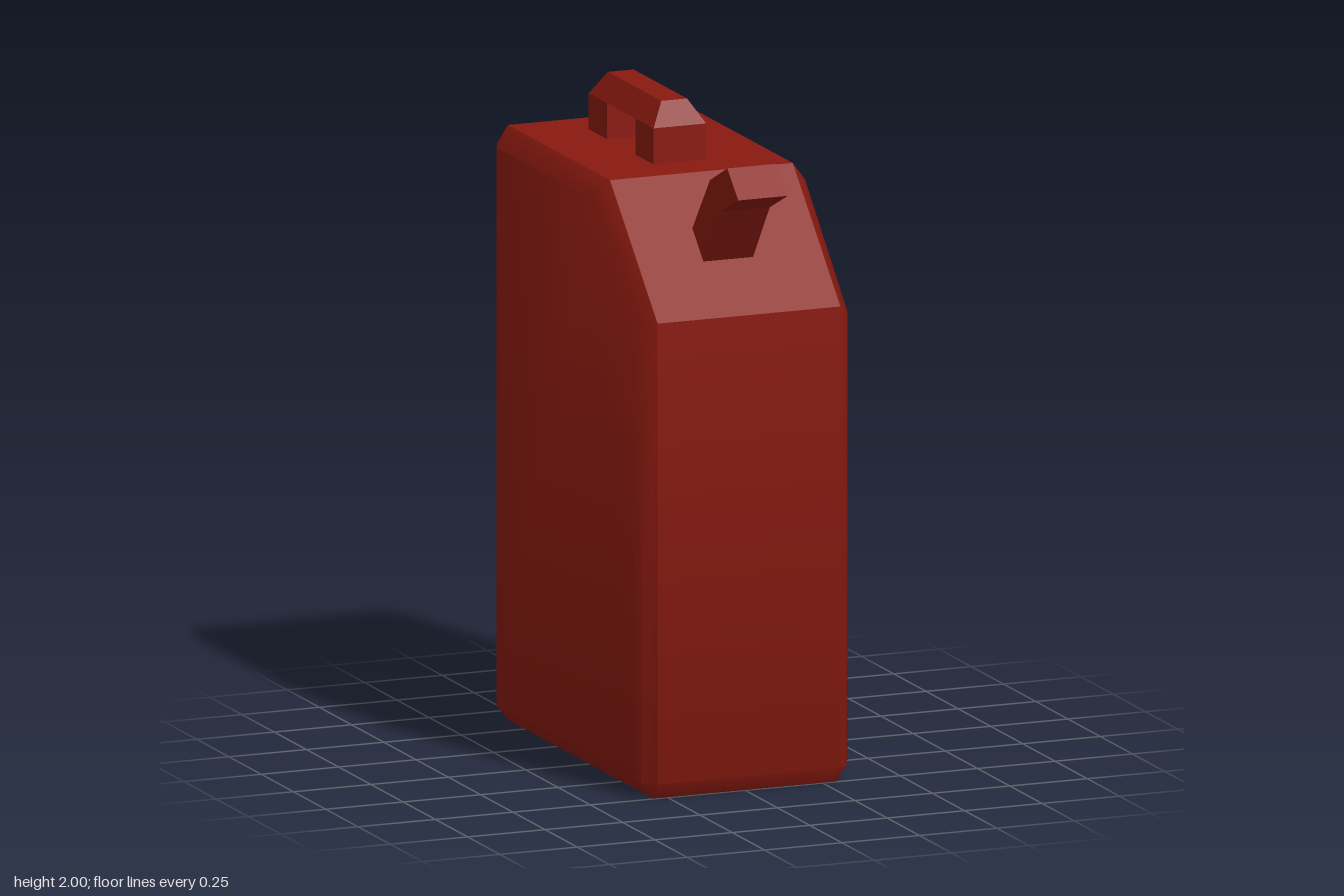
import * as THREE from 'three';
import { ConvexGeometry } from 'three/addons/geometries/ConvexGeometry.js';
import { toCreasedNormals } from 'three/addons/utils/BufferGeometryUtils.js';

const red = new THREE.MeshStandardMaterial({ color: 0x8a1a10 });

function addMesh(parent, name, geometry) {
  const mesh = new THREE.Mesh(geometry, red);
  mesh.name = name;
  parent.add(mesh);
  return mesh;
}

// Side outlines [z, y] of the can, each at a half width, from inner to outer
const bodySections = [
  { x: 0.295, outline: [[0.495, 0], [0.53, 0.05], [0.53, 1.46], [0.16, 1.82], [-0.63, 1.82], [-0.655, 1.77], [-0.655, 0.05], [-0.625, 0]] },
  { x: 0.33, outline: [[0.49, 0.045], [0.49, 1.405], [-0.63, 1.77], [-0.63, 0.045]] },
  { x: 0.345, outline: [[0.465, 0.06], [0.465, 1.425], [0.135, 1.76], [-0.6, 1.76], [-0.6, 0.06]] },
];

function createBody() {
  const points = [];
  for (const { x, outline } of bodySections)
    for (const [z, y] of outline)
      for (const side of [-1, 1]) points.push(new THREE.Vector3(side * x, y, z));
  return toCreasedNormals(new ConvexGeometry(points), 0.75);
}

// Grip: a block that tapers to a narrower top
function createGrip() {
  const points = [];
  for (const [y, x0, x1, z0, z1] of [
    [1.93, -0.095, 0.075, -0.485, 0.018],
    [2.0, -0.05, 0.033, -0.445, -0.03],
  ])
    for (const x of [x0, x1]) for (const z of [z0, z1]) points.push(new THREE.Vector3(x, y, z));
  return new ConvexGeometry(points);
}

// Bent square spout: side outline [z, y] pushed through its width
function createSpout() {
  const outline = [[0.365, 1.575], [0.385, 1.6], [0.515, 1.78], [0.655, 1.845], [0.57, 1.925], [0.435, 1.86], [0.3, 1.685], [0.28, 1.66]];
  const shape = new THREE.Shape(outline.map(([z, y]) => new THREE.Vector2(z, y)));
  const geometry = new THREE.ExtrudeGeometry(shape, { depth: 0.16, bevelEnabled: false });
  return geometry.rotateY(-Math.PI / 2).translate(0.073, 0, 0);
}

export function createModel() {
  const model = new THREE.Group();
  model.name = 'fuelCan';

  addMesh(model, 'body', createBody());
  addMesh(model, 'spout', createSpout());

  // Carrying handle on two posts
  const handle = new THREE.Group();
  handle.name = 'handle';
  model.add(handle);
  addMesh(handle, 'grip', createGrip());
  for (const [name, z] of [['frontPost', -0.052], ['backPost', -0.415]])
    addMesh(handle, name, new THREE.BoxGeometry(0.17, 0.13, 0.14)).position.set(-0.01, 1.865, z);

  return model;
}
